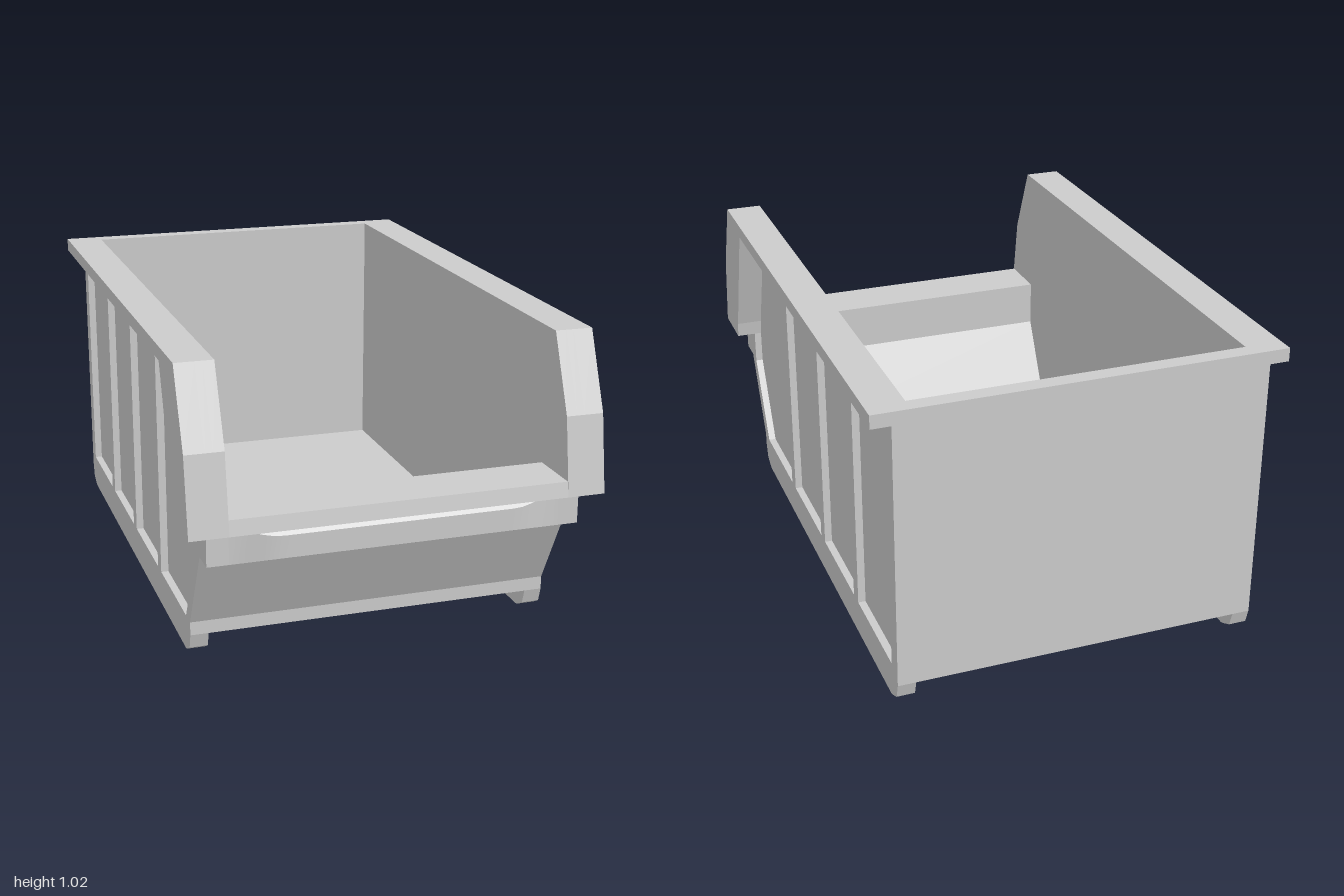
import * as THREE from 'three';
import { toCreasedNormals } from 'three/addons/utils/BufferGeometryUtils.js';

const material = new THREE.MeshStandardMaterial({ color: 0xcccccc, flatShading: true });
const smooth = new THREE.MeshStandardMaterial({ color: 0xcccccc });

// Extrude a [z, y] profile across the width from x0 to x1
function slab(name, profile, x0, x1, holes = []) {
  const toPoints = (list) => list.map(([z, y]) => new THREE.Vector2(z, y));
  const shape = new THREE.Shape(toPoints(profile));
  holes.forEach((h) => shape.holes.push(new THREE.Path(toPoints(h))));
  const geometry = new THREE.ExtrudeGeometry(shape, { depth: x1 - x0, bevelEnabled: false });
  geometry.rotateY(-Math.PI / 2).translate(x1, 0, 0);
  const mesh = new THREE.Mesh(geometry, material);
  mesh.name = name;
  return mesh;
}

// Same slab on both sides
function pair(group, name, profile, x0, x1, holes) {
  group.add(slab('left' + name, profile, x0, x1, holes));
  group.add(slab('right' + name, profile, -x1, -x0, holes));
}

// Gently swollen front of the grip bar, fading out towards both ends
function gripBulge() {
  const steps = 32, half = 0.54, pos = [], index = [];
  for (let i = 0; i <= steps; i++) {
    const x = -half + (2 * half * i) / steps;
    const b = 1 - THREE.MathUtils.smoothstep(Math.abs(x), 0.38, half);
    const z = 0.95 + 0.027 * b;
    pos.push(x, 0.405, 0.95, x, 0.405 + 0.012 * b, z, x, 0.515 - 0.025 * b, z, x, 0.515, 0.95);
    if (i === steps) break;
    for (let j = 0; j < 3; j++) {
      const a = i * 4 + j;
      index.push(a, a + 4, a + 5, a, a + 5, a + 1);
    }
  }
  const geometry = new THREE.BufferGeometry();
  geometry.setAttribute('position', new THREE.Float32BufferAttribute(pos, 3));
  geometry.setIndex(index);
  const mesh = new THREE.Mesh(toCreasedNormals(geometry, 0.5), smooth);
  mesh.name = 'gripBulge';
  return mesh;
}

export function createModel() {
  const group = new THREE.Group();
  group.name = 'storageBin';
  const inner = 0.55, panel = 0.585, outer = 0.61, rim = 0.675;

  // Back wall, floor, sloping front and front lip in one section
  group.add(slab('trough', [
    [-1, 1.02], [-1, 0.075], [0.715, 0.075], [0.715, 0.12], [0.865, 0.405], [0.95, 0.405],
    [0.95, 0.515], [1, 0.515], [0.99, 0.565], [0.8, 0.565], [0.8, 0.4], [0.65, 0.12],
    [-0.945, 0.12], [-0.945, 1.02],
  ], -inner, inner));

  // Side walls with the runners they stand on
  const side = [
    [-1, 1.02], [-1, 0.075], [-0.985, 0.025], [-0.945, 0.005], [-0.93, 0], [0.65, 0],
    [0.665, 0.005], [0.7, 0.025], [0.715, 0.075], [0.715, 0.12], [0.865, 0.405], [0.95, 0.405],
    [0.95, 0.515], [1, 0.515], [0.96, 0.77], [0.855, 1.02],
  ];
  pair(group, 'SideWall', side, inner, panel);

  // Ribbed outer frame with four recessed panels
  const recesses = [[-0.94, -0.575], [-0.525, -0.165], [-0.115, 0.245]].map(([a, b]) =>
    [[a, 0.12], [b, 0.12], [b, 0.975], [a, 0.975]]);
  recesses.push([[0.295, 0.12], [0.66, 0.12], [0.81, 0.4], [0.81, 0.515], [0.8, 0.57],
    [0.66, 0.975], [0.295, 0.975]]);
  pair(group, 'RibFrame', side, panel, outer, recesses);

  // Overhanging rim that widens into the front flange
  pair(group, 'Rim', [
    [-1, 1.02], [-1, 0.975], [0.66, 0.975], [0.8, 0.57], [0.81, 0.515], [1, 0.515],
    [0.96, 0.77], [0.855, 1.02],
  ], outer, rim);

  group.add(gripBulge());
  return group;
}
